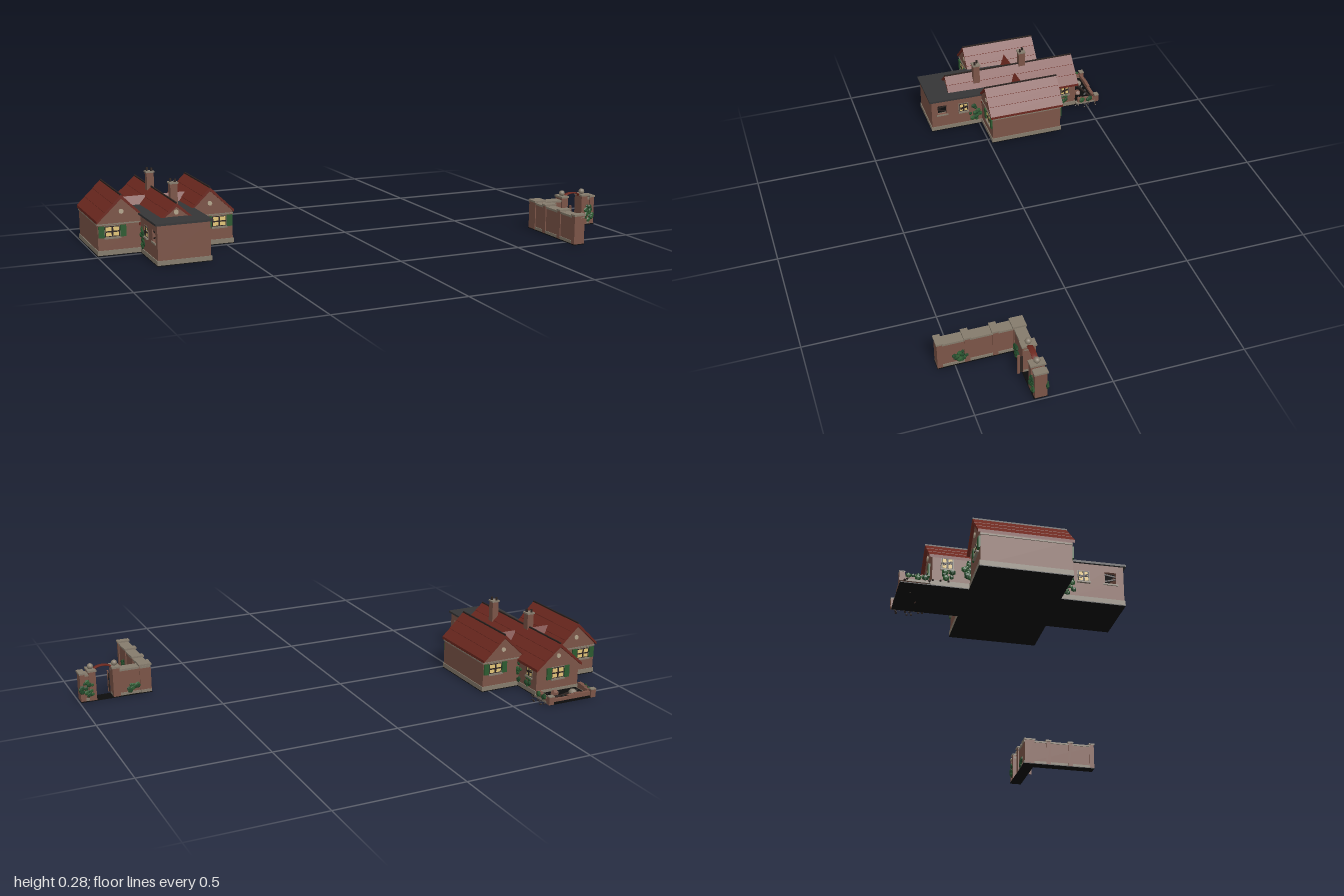
import * as THREE from 'three';

const mat = (name, color) => Object.assign(new THREE.MeshStandardMaterial({ color }), { name });
const M = {
  brick: mat('brick', 0x7b5447), stone: mat('stone', 0x857b6c), roof: mat('roof tile', 0x6c281f),
  slate: mat('slate', 0x353536), timber: mat('dark timber', 0x2c2320), green: mat('shutter green', 0x2c5a30),
  ivy: mat('ivy', 0x22482a), glass: mat('lit glass', 0xe2c478), soot: mat('soot', 0x0c0c0c), pale: mat('pale vent', 0xb3a48c),
};
const CX = -0.7325, WING = 0.1725, G = 0.003;
let seed = 7;
const rnd = () => (seed = (seed * 16807) % 2147483647) / 2147483647;

export function createModel() {
  const root = new THREE.Group();
  const add = (name, geo, m, parent = root) => {
    const mesh = new THREE.Mesh(geo, m);
    mesh.name = name;
    parent.add(mesh);
    return mesh;
  };
  // Box given by its minimum and maximum corners
  const box = (name, m, x0, x1, y0, y1, z0, z1, parent) => {
    const b = add(name, new THREE.BoxGeometry(x1 - x0, y1 - y0, z1 - z0), m, parent);
    b.position.set((x0 + x1) / 2, (y0 + y1) / 2, (z0 + z1) / 2);
    return b;
  };
  const shape = pts => new THREE.Shape(pts.map(p => new THREE.Vector2(...p)));
  const extrude = (s, depth) => new THREE.ExtrudeGeometry(s, { depth, bevelEnabled: false });
  const acrossX = (s, w) => extrude(s, w).rotateY(-Math.PI / 2);
  // Black underside slab
  const ground = (x0, x1, z0, z1) => box('foundation', M.soot, x0, x1, 0, G, z0, z1);

  // Pentagon-section block with a triangular gable at both ends
  function gableWalls(name, cx, half, eave, ridge, z0, z1, base = G) {
    const s = shape([[-half, base], [half, base], [half, eave], [0, ridge], [-half, eave]]);
    add(name, extrude(s, z1 - z0), M.brick).position.set(cx, 0, z0);
  }
  // Pitched roof whose slopes step down in shallow overlapping courses
  function gableRoof(name, cx, half, eave, ridge, z0, z1, courses) {
    const right = [], t = 0.011, lip = 0.0015;
    for (let i = 0; i < courses; i++) {
      const a = i / courses, b = (i + 1) / courses;
      right.push([half * a, ridge + (eave - ridge) * a - (i ? lip : 0)], [half * b, ridge + (eave - ridge) * b]);
    }
    const left = right.slice(1).reverse().map(([x, y]) => [-x, y]);
    const s = shape([...left, ...right, [half, eave - t], [0, ridge - t * 1.3], [-half, eave - t]]);
    add(name, extrude(s, z1 - z0), M.roof).position.set(cx, 0, z0);
    box('ridgeCap', M.timber, cx - 0.0025, cx + 0.0025, ridge - 0.004, ridge + 0.003, z0, z1);
  }
  // Framed window facing +z before rotation
  function windowUnit(x, y, z, rot, w, h, shutters) {
    const g = new THREE.Group();
    g.name = 'window';
    g.position.set(x, y, z);
    g.rotation.y = rot;
    root.add(g);
    box('surround', M.stone, -w / 2 - 0.006, w / 2 + 0.006, -h / 2 - 0.006, h / 2 + 0.006, -0.002, 0.001, g);
    box('frame', M.timber, -w / 2 - 0.003, w / 2 + 0.003, -h / 2 - 0.003, h / 2 + 0.003, -0.002, 0.002, g);
    box('pane', M.glass, -w / 2, w / 2, -h / 2, h / 2, 0, 0.003, g);
    box('mullion', M.timber, -0.003, 0.003, -h / 2, h / 2, 0, 0.005, g);
    box('transom', M.timber, -w / 2, w / 2, -0.0025, 0.0025, 0, 0.005, g);
    box('sill', M.stone, -w / 2 - 0.007, w / 2 + 0.007, -h / 2 - 0.01, -h / 2 - 0.004, -0.002, 0.008, g);
    if (shutters) for (const s of [-1, 1]) {
      const c = s * (w / 2 + 0.016);
      box('shutter', M.green, c - 0.011, c + 0.011, -h / 2 - 0.005, h / 2 + 0.005, 0, 0.006, g);
    } else {
      const board = box('crackedBar', M.timber, -w / 2, w / 2, -0.002, 0.002, 0.001, 0.006, g);
      board.rotation.z = 0.5;
    }
  }
  function vent(x, y, z, s) {
    const v = add('roundVent', new THREE.CylinderGeometry(0.009, 0.009, 0.006, 12), M.pale);
    v.rotation.x = Math.PI / 2;
    v.position.set(x, y, z + s * 0.001);
  }
  // Cluster of leaf lumps flattened along one axis
  function ivy(x, y, z, w, h, axis, n = 14) {
    const g = new THREE.Group();
    g.name = 'ivy';
    g.position.set(x, y, z);
    for (let i = 0; i < n; i++) {
      const r = 0.007 + rnd() * 0.006, a = rnd() * 6.28, d = Math.sqrt(rnd());
      const l = add('ivyLeaves', new THREE.IcosahedronGeometry(r, 0), i % 2 ? M.ivy : M.green, g);
      l.position.y = Math.sin(a) * d * h / 2;
      l.position[axis === 'x' ? 'z' : 'x'] = Math.cos(a) * d * w / 2;
      l.scale[axis] = 0.6;
    }
    root.add(g);
  }

  // Two side wings
  const saddle = shape([[-0.225, 0.125], [-0.16, 0.15], [-0.186, 0.183]]);
  for (const s of [-1, 1]) {
    const c = CX + s * WING;
    ground(c - 0.093, c + 0.093, -0.325, -0.011);
    gableWalls('wingWalls', c, 0.09, 0.132, 0.217, -0.322, -0.014);
    gableRoof('wingRoof', c, 0.095, 0.135, 0.228, -0.332, -0.006, 3);
    box('wingPlinth', M.stone, c - 0.093, c + 0.093, G, 0.021, -0.325, -0.011);
    box('wingCornice', M.stone, c - 0.093, c + 0.093, 0.117, 0.122, -0.324, -0.012);
    const wx = CX + s * 0.208;
    windowUnit(wx, 0.092, -0.014, 0, 0.05, 0.034, true);
    windowUnit(wx, 0.092, -0.322, Math.PI, 0.05, 0.034, true);
    vent(c, 0.165, -0.014, 1);
    vent(c, 0.165, -0.322, -1);
    // Little cross roof closing the valley behind the flat roof
    add('valleySaddle', acrossX(saddle, 0.092), M.roof).position.x = CX + s * 0.0805 + 0.046;
  }

  // Central hall and its long roof
  ground(CX - 0.1, CX + 0.1, -0.453, -0.011);
  gableWalls('hallWalls', CX, 0.097, 0.112, 0.197, -0.45, -0.01);
  gableRoof('hallRoof', CX, 0.105, 0.115, 0.208, -0.462, -0.01, 3);
  gableWalls('frontGable', CX, 0.052, 0.155, 0.197, -0.01, 0.118, 0.147);
  gableRoof('frontGableRoof', CX, 0.066, 0.15, 0.208, -0.01, 0.125, 2);
  box('hallPlinth', M.stone, CX - 0.1, CX + 0.1, G, 0.021, -0.453, -0.01);
  windowUnit(CX, 0.085, -0.45, Math.PI, 0.05, 0.038, true);
  vent(CX, 0.155, -0.45, -1);
  vent(CX, 0.173, 0.118, 1);

  // Hollow flat-roofed front extension with a broken opening on each side
  const side = shape([[-0.012, G], [0.213, G], [0.213, 0.15], [-0.012, 0.148]]);
  side.holes.push(new THREE.Path([[0.146, 0.08], [0.146, 0.124], [0.186, 0.124], [0.186, 0.08]].map(p => new THREE.Vector2(...p))));
  const slab = shape([[-0.17, 0.144], [0.222, 0.15], [0.222, 0.158], [-0.17, 0.152]]);
  for (const s of [-1, 1]) {
    const x = CX + s * 0.1, inner = x - s * 0.006;
    add('extensionSideWall', acrossX(side, 0.012), M.brick).position.x = s > 0 ? x : x + 0.012;
    for (const [dy, tilt] of [[0.012, 0.15], [-0.006, -0.3]]) {
      const bar = add('brokenSash', new THREE.BoxGeometry(0.004, 0.005, 0.042), M.timber);
      bar.position.set(inner, 0.102 + dy, 0.166);
      bar.rotation.x = tilt;
    }
    box('brokenSill', M.stone, inner - 0.01, inner + 0.01, 0.074, 0.08, 0.14, 0.192);
    windowUnit(x, 0.098, 0.07, s * Math.PI / 2, 0.032, 0.032, false);
    windowUnit(CX + s * 0.097, 0.088, -0.4, s * Math.PI / 2, 0.032, 0.034, false);
    ivy(x, 0.062, 0.014, 0.05, 0.075, 'x', 20);
    ivy(CX + s * 0.1, 0.045, -0.395, 0.035, 0.04, 'x', 8);
    ivy(CX + s * 0.104, 0.068, -0.333, 0.025, 0.08, 'x', 12);
    box('extensionPlinth', M.stone, x - 0.003, x + 0.003, G, 0.02, -0.01, 0.216);
  }
  ground(CX - 0.103, CX + 0.103, -0.011, 0.216);
  box('extensionFrontWall', M.brick, CX - 0.1, CX + 0.1, G, 0.15, 0.201, 0.213);
  box('frontPlinth', M.stone, CX - 0.103, CX + 0.103, G, 0.02, 0.21, 0.216);
  add('flatRoof', acrossX(slab, 0.216), M.slate).position.x = CX + 0.108;

  // Chimneys with paired pots
  for (const [x, z, top] of [[-0.705, -0.01, 0.255], [-0.735, -0.227, 0.262]]) {
    box('chimneyStack', M.brick, x - 0.014, x + 0.014, 0.15, top, z - 0.014, z + 0.014);
    box('chimneyCap', M.stone, x - 0.017, x + 0.017, top, top + 0.006, z - 0.017, z + 0.017);
    for (const d of [-0.007, 0.007]) {
      add('chimneyPot', new THREE.CylinderGeometry(0.004, 0.005, 0.014, 8), M.timber).position.set(x + d, top + 0.012, z + d);
    }
  }

  // Ruined rear room: scorched floor, low broken walls, rubble
  box('ruinFloor', M.soot, CX - 0.1, CX + 0.1, 0, 0.01, -0.555, -0.453);
  for (const s of [-1, 1]) {
    const x = CX + s * 0.097;
    for (let i = 0; i < 4; i++) {
      const z = -0.475 - i * 0.022;
      box('ruinSideWall', M.brick, x - 0.008, x + 0.008, G, 0.034 - i * 0.003 - rnd() * 0.006, z - 0.011, z + 0.011);
    }
    box('ruinWallBase', M.stone, x - 0.01, x + 0.01, G, 0.011, -0.556, -0.455);
    box('ruinCornerPost', M.brick, x - 0.011, x + 0.011, G, 0.034, -0.56, -0.542);
    box('ruinPostCap', M.stone, x - 0.012, x + 0.012, 0.034, 0.038, -0.561, -0.541);
    ivy(x + s * 0.008, 0.024, -0.5, 0.06, 0.012, 'x', 6);
  }
  for (let i = 0; i < 7; i++) {
    const x = CX - 0.09 + i * 0.03;
    box('ruinBackWall', M.brick, x - 0.015, x + 0.015, G, 0.018 + rnd() * 0.012, -0.553, -0.54);
  }
  const beam = box('fallenBeam', M.timber, CX - 0.07, CX + 0.07, 0.012, 0.018, -0.515, -0.507);
  beam.rotation.y = 0.25;
  for (let i = 0; i < 28; i++) {
    const outside = i < 16, r = outside ? 0.004 : 0.005 + rnd() * 0.006;
    const x = outside ? (i % 3 ? 0.108 + rnd() * 0.035 : -0.108 - rnd() * 0.025) : (rnd() - 0.5) * 0.16;
    const d = add('rubble', new THREE.DodecahedronGeometry(r, 0), outside ? M.timber : M.soot);
    d.position.set(CX + x, outside ? r : 0.012, outside ? -0.4 - rnd() * 0.155 : -0.475 - rnd() * 0.06);
  }
  add('boulder', new THREE.IcosahedronGeometry(0.017, 1), M.stone).position.set(-0.765, 0.016, -0.512);
  add('brickHeap', new THREE.DodecahedronGeometry(0.016, 0), M.brick).position.set(-0.7, 0.014, -0.485);

  // L-shaped garden wall
  function wallRun(x0, x1, z0, z1) {
    box('gardenWall', M.brick, x0, x1, G, 0.106, z0, z1);
    box('gardenWallBase', M.stone, x0 - 0.003, x1 + 0.003, G, 0.014, z0 - 0.003, z1 + 0.003);
    box('gardenWallCoping', M.stone, x0 - 0.003, x1 + 0.003, 0.104, 0.112, z0 - 0.003, z1 + 0.003);
  }
  function pillar(x, z, wx, wz, h) {
    box('pillar', M.brick, x - wx / 2, x + wx / 2, G, h, z - wz / 2, z + wz / 2);
    box('pillarCap', M.stone, x - wx / 2 - 0.003, x + wx / 2 + 0.003, h, h + 0.007, z - wz / 2 - 0.003, z + wz / 2 + 0.003);
  }
  ground(0.711, 0.757, 0.235, 0.564);
  ground(0.757, 0.994, 0.236, 0.288);
  wallRun(0.715, 0.752, 0.24, 0.56);
  wallRun(0.752, 0.862, 0.243, 0.28);
  wallRun(0.935, 0.99, 0.243, 0.28);
  for (const z of [0.553, 0.453, 0.35]) pillar(0.7335, z, 0.045, 0.02, 0.113);
  pillar(0.7335, 0.262, 0.045, 0.045, 0.113);
  pillar(0.984, 0.262, 0.02, 0.045, 0.113);
  // Gate pillars with ball finials, arch and open leaf
  for (const x of [0.851, 0.946]) {
    pillar(x, 0.262, 0.028, 0.05, 0.12);
    add('ballFinial', new THREE.SphereGeometry(0.012, 12, 8), M.stone).position.set(x, 0.136, 0.262);
  }
  const arch = add('gateArch', new THREE.TorusGeometry(0.036, 0.006, 6, 16, Math.PI), M.roof);
  arch.scale.set(1, 0.45, 2);
  arch.position.set(0.8985, 0.118, 0.262);
  box('gateLeaf', M.timber, 0.866, 0.869, 0.01, 0.085, 0.286, 0.297);
  box('gateStile', M.brick, 0.865, 0.87, 0.006, 0.092, 0.297, 0.307);

  for (const z of [0.239, 0.286]) {
    ivy(0.785, 0.037, z, 0.04, 0.045, 'z', 14);
    ivy(0.967, 0.05, z, 0.05, 0.065, 'z', 18);
  }
  ivy(0.755, 0.042, 0.478, 0.05, 0.045, 'x', 16);
  return root;
}
